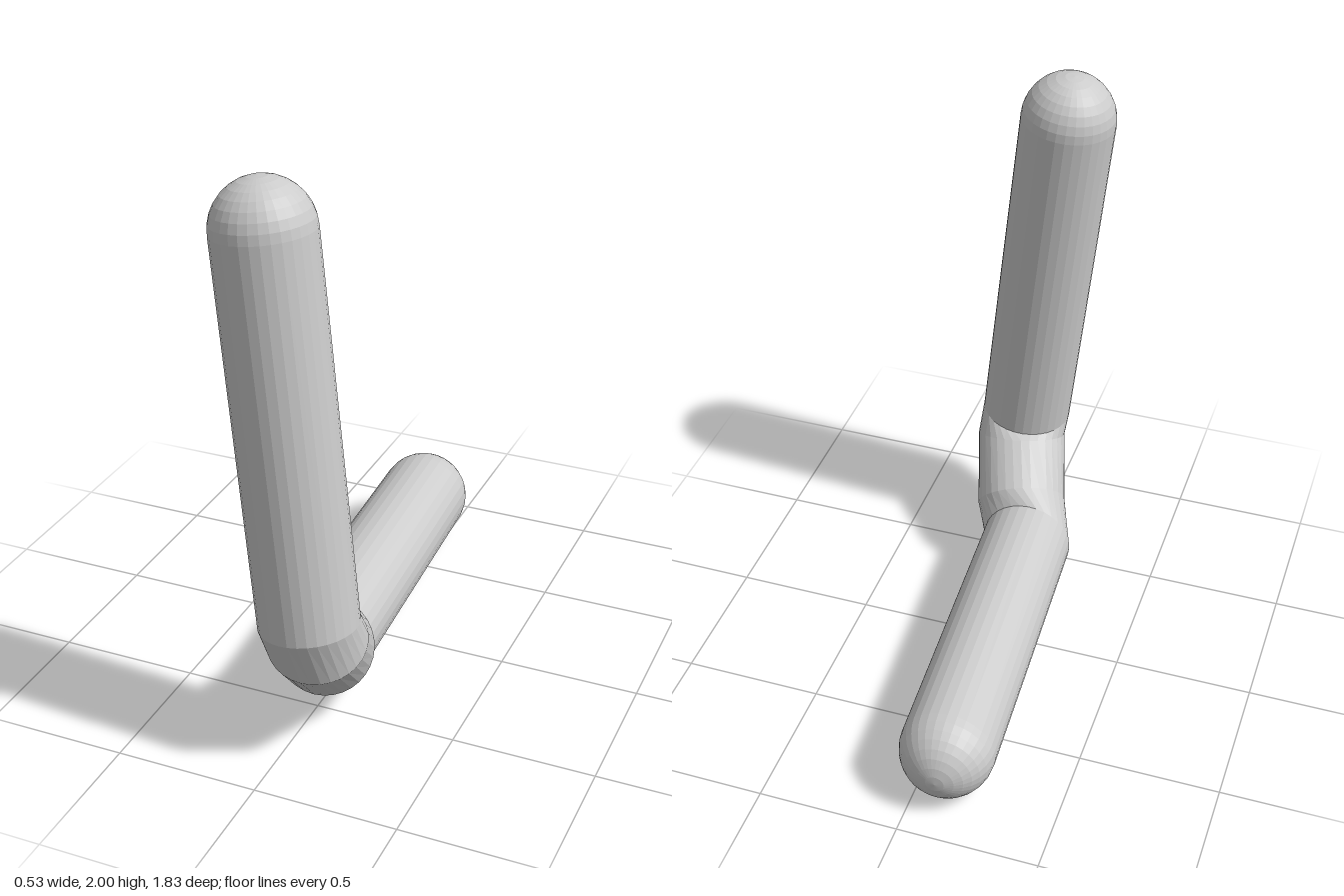
import * as THREE from 'three';

const RADIUS = 0.168, SIDES = 32, CAP_STEPS = 8;

// Centre line of the bent rod, from the upper tip centre to the rear tip centre
const path = [
  [-0.06, 1.832, 0.70],
  [0.09, 0.52, 0.75],
  [0.095, 0.425, 0.70],
  [0.03, 0.255, 0.495],
  [-0.035, 0.18, 0.36],
  [-0.098, 0.169, -0.747],
].map((p) => new THREE.Vector3(...p));

// Rings along the rod: hemisphere, straight, elbow, straight, hemisphere
function makeRings() {
  const dir = (a, b) => path[b].clone().sub(path[a]).normalize();
  const first = dir(0, 1), last = dir(4, 5), middle = dir(2, 4);
  const shoulder = first.clone().add(middle).normalize();
  const tangents = [first, first, shoulder, middle, last, last];
  const rings = [];
  const addCapRing = (center, tangent, angle) => rings.push({
    center: center.clone().addScaledVector(tangent, Math.sin(angle) * RADIUS),
    tangent,
    radius: Math.max(Math.cos(angle), 0) * RADIUS,
  });
  for (let i = 0; i < CAP_STEPS; i++) {
    addCapRing(path[0], first, (i / CAP_STEPS - 1) * Math.PI / 2);
  }
  path.forEach((center, i) => rings.push({ center, tangent: tangents[i], radius: RADIUS }));
  for (let i = 1; i <= CAP_STEPS; i++) {
    addCapRing(path[5], last, (i / CAP_STEPS) * Math.PI / 2);
  }
  return rings;
}

// Skin the rings, carrying the side direction along so the strips do not twist
function skin(rings) {
  const positions = [], indices = [];
  const side = new THREE.Vector3(1, 0, 0);
  rings.forEach(({ center, tangent, radius }, r) => {
    side.addScaledVector(tangent, -side.dot(tangent)).normalize();
    const up = new THREE.Vector3().crossVectors(tangent, side);
    for (let s = 0; s < SIDES; s++) {
      const a = (s / SIDES) * Math.PI * 2;
      const p = center.clone()
        .addScaledVector(side, Math.cos(a) * radius)
        .addScaledVector(up, Math.sin(a) * radius);
      positions.push(p.x, p.y, p.z);
      if (r === rings.length - 1) continue;
      const n = (s + 1) % SIDES, row = r * SIDES, next = row + SIDES;
      if (r > 0) indices.push(row + s, row + n, next + s);
      if (r < rings.length - 2) indices.push(row + n, next + n, next + s);
      else continue;
    }
  });
  const geometry = new THREE.BufferGeometry();
  geometry.setAttribute('position', new THREE.Float32BufferAttribute(positions, 3));
  geometry.setIndex(indices);
  geometry.computeVertexNormals();
  return geometry;
}

export function createModel() {
  const group = new THREE.Group();
  group.name = 'bentRod';
  const material = new THREE.MeshStandardMaterial({ color: 0xcccccc, flatShading: true });
  const rod = new THREE.Mesh(skin(makeRings()), material);
  rod.name = 'roundEndedRod';
  group.add(rod);
  return group;
}
